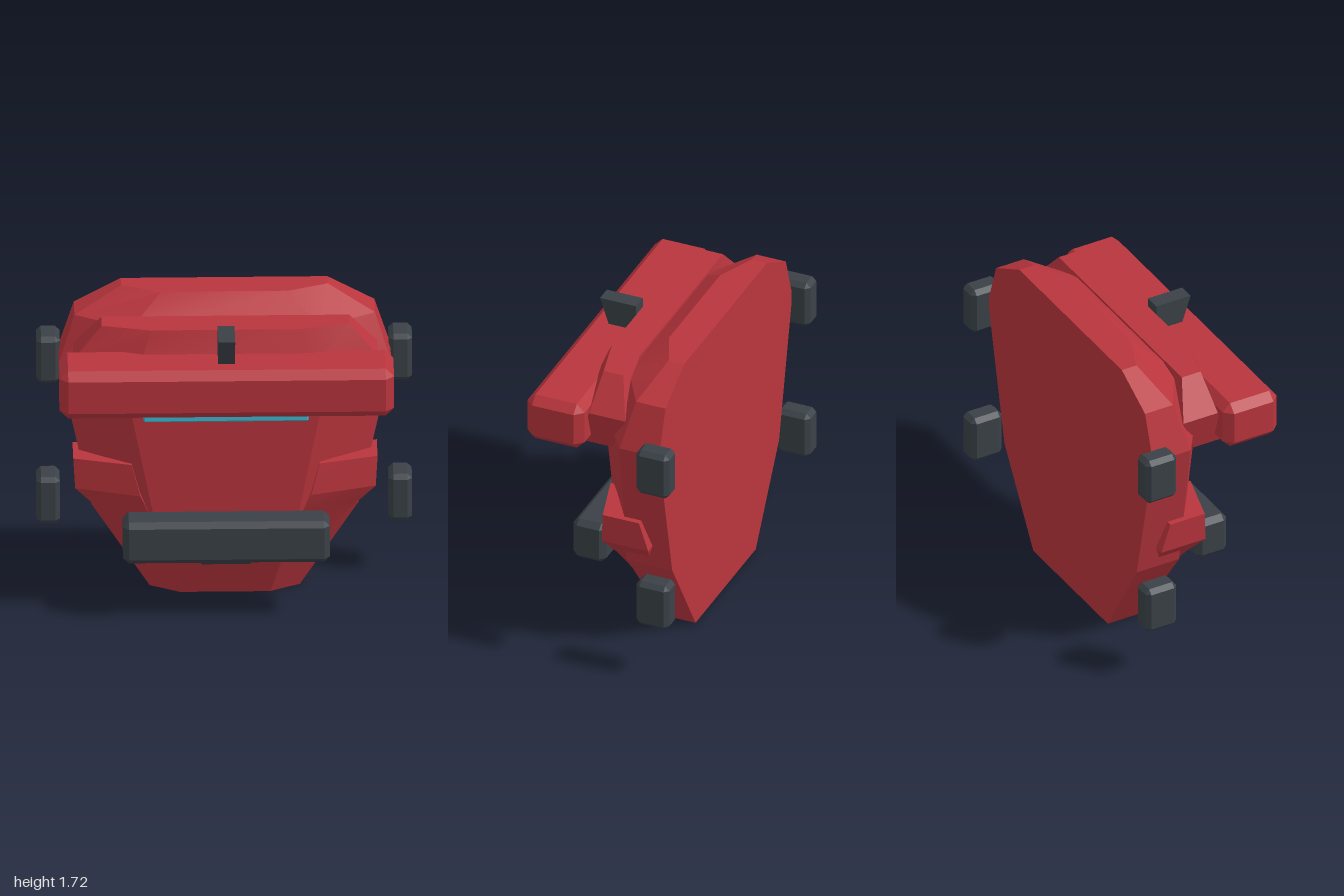
import * as THREE from 'three';
import { toCreasedNormals } from 'three/addons/utils/BufferGeometryUtils.js';
import { ConvexGeometry } from 'three/addons/geometries/ConvexGeometry.js';

const material = (name, color) => Object.assign(new THREE.MeshStandardMaterial({ color }), { name });

// Skin through stacked horizontal rings: [{ y, ring: [[x, z], ...] }, ...] from bottom to top
function loft(sections) {
  const n = sections[0].ring.length, pos = [], idx = [];
  for (const { y, ring } of sections) for (const [x, z] of ring) pos.push(x, y, z);
  for (let s = 0; s < sections.length - 1; s++) {
    for (let i = 0; i < n; i++) {
      const a = s * n + i, b = s * n + (i + 1) % n;
      idx.push(a, b, b + n, a, b + n, a + n);
    }
  }
  const top = (sections.length - 1) * n;
  for (let i = 1; i < n - 1; i++) {
    idx.push(0, i + 1, i);
    idx.push(top, top + i, top + i + 1);
  }
  const g = new THREE.BufferGeometry();
  g.setAttribute('position', new THREE.Float32BufferAttribute(pos, 3));
  g.setIndex(idx);
  return toCreasedNormals(g, 0.3);
}

// Complete a ring from its left half, listed front to back
const mirrored = half => [...half, ...half.map(([x, z]) => [-x, z]).reverse()];

// Box with bevelled edges, given by its limits on each axis
function bevelBox([x0, x1], [y0, y1], [z0, z1], c) {
  const h = [(x1 - x0) / 2, (y1 - y0) / 2, (z1 - z0) / 2], pts = [];
  for (const sx of [-1, 1]) for (const sy of [-1, 1]) for (const sz of [-1, 1]) {
    for (let axis = 0; axis < 3; axis++) {
      const p = h.map((v, i) => (i === axis ? v : v - c));
      pts.push(new THREE.Vector3(p[0] * sx, p[1] * sy, p[2] * sz));
    }
  }
  return new ConvexGeometry(pts).translate((x0 + x1) / 2, (y0 + y1) / 2, (z0 + z1) / 2);
}

export function createModel() {
  const group = new THREE.Group();
  const red = material('red armour', 0xb9353d);
  const dark = material('dark rubber', 0x3a4147);
  const cyan = material('cyan light', 0x3cbbd3);
  const add = (name, geometry, mat) => {
    const mesh = new THREE.Mesh(geometry, mat);
    mesh.name = name;
    group.add(mesh);
  };

  // Torso: [y, front half-width, front z, side half-width, side z], flat back
  const torso = [
    [0, 0.24, -0.06, 0.40, -0.15],
    [0.51, 0.38, 0.13, 0.71, -0.08],
    [1.32, 0.54, 0.13, 0.885, -0.11],
    [1.58, 0.50, 0.01, 0.80, -0.17],
    [1.715, 0.34, -0.16, 0.55, -0.25],
  ].map(([y, f, zf, w, zs]) => ({ y, ring: mirrored([[f, zf], [w, zs], [w, -0.34]]) }));
  add('torso', loft(torso), red);

  // Collar: swept band between torso and chest bar
  const collar = [
    [1.22, [[0.44, 0.29], [0.74, 0.19], [0.74, -0.01], [0.48, -0.01]]],
    [1.445, [[0.46, 0.215], [0.81, 0.10], [0.81, -0.11], [0.45, -0.04]]],
    [1.63, [[0.40, 0.145], [0.66, 0.08], [0.66, -0.035], [0.45, -0.035]]],
  ].map(([y, half]) => ({ y, ring: mirrored(half) }));
  add('collar', loft(collar), red);

  // Chest bar
  add('chestBar', bevelBox([-0.89, 0.89], [1.235, 1.51], [0.11, 0.44], 0.045), red);

  // Tapered fin standing through the chest bar
  const fin = [];
  for (const x of [-0.045, 0.045]) {
    for (const [y, z] of [[1.66, 0.37], [1.66, 0.16], [1.2, 0.16], [1.2, 0.215]]) {
      fin.push(new THREE.Vector3(x, y, z));
    }
  }
  add('fin', new ConvexGeometry(fin), dark);

  // Light strip
  add('lightStrip', bevelBox([-0.44, 0.44], [1.105, 1.16], [0.13, 0.18], 0.008), cyan);

  // Side plates: [y, inner x, outer x, inner front z, outer front z, back z]
  const plate = [
    [0.275, 0.29, 0.44, 0.065, 0.0, -0.045],
    [0.51, 0.39, 0.66, 0.115, 0.0, -0.075],
    [0.57, 0.42, 0.72, 0.125, 0.01, -0.21],
    [0.655, 0.455, 0.80, 0.14, 0.03, -0.24],
    [0.825, 0.50, 0.81, 0.11, 0.02, -0.19],
  ];
  for (const side of [1, -1]) {
    const sections = plate.map(([y, xi, xo, zf, zo, zb]) => {
      const ring = [[xi, zf], [xo, zo], [xo, zb], [xi, zb]].map(([x, z]) => [x * side, z]);
      return { y, ring: side > 0 ? ring : ring.reverse() };
    });
    add(side > 0 ? 'leftSidePlate' : 'rightSidePlate', loft(sections), red);
  }

  // Bumper and its mount
  add('bumper', bevelBox([-0.55, 0.55], [0.33, 0.57], [0.125, 0.315], 0.03), dark);
  add('bumperMount', bevelBox([-0.145, 0.145], [0.245, 0.42], [0.05, 0.14], 0.018), dark);

  // Four block wheels
  for (const side of [1, -1]) {
    for (const [row, y] of [['lower', 0.447], ['upper', 1.27]]) {
      const xs = side > 0 ? [0.875, 1] : [-1, -0.875];
      add(row + (side > 0 ? 'Left' : 'Right') + 'Wheel',
        bevelBox(xs, [y - 0.135, y + 0.135], [-0.44, -0.25], 0.025), dark);
    }
  }
  return group;
}
